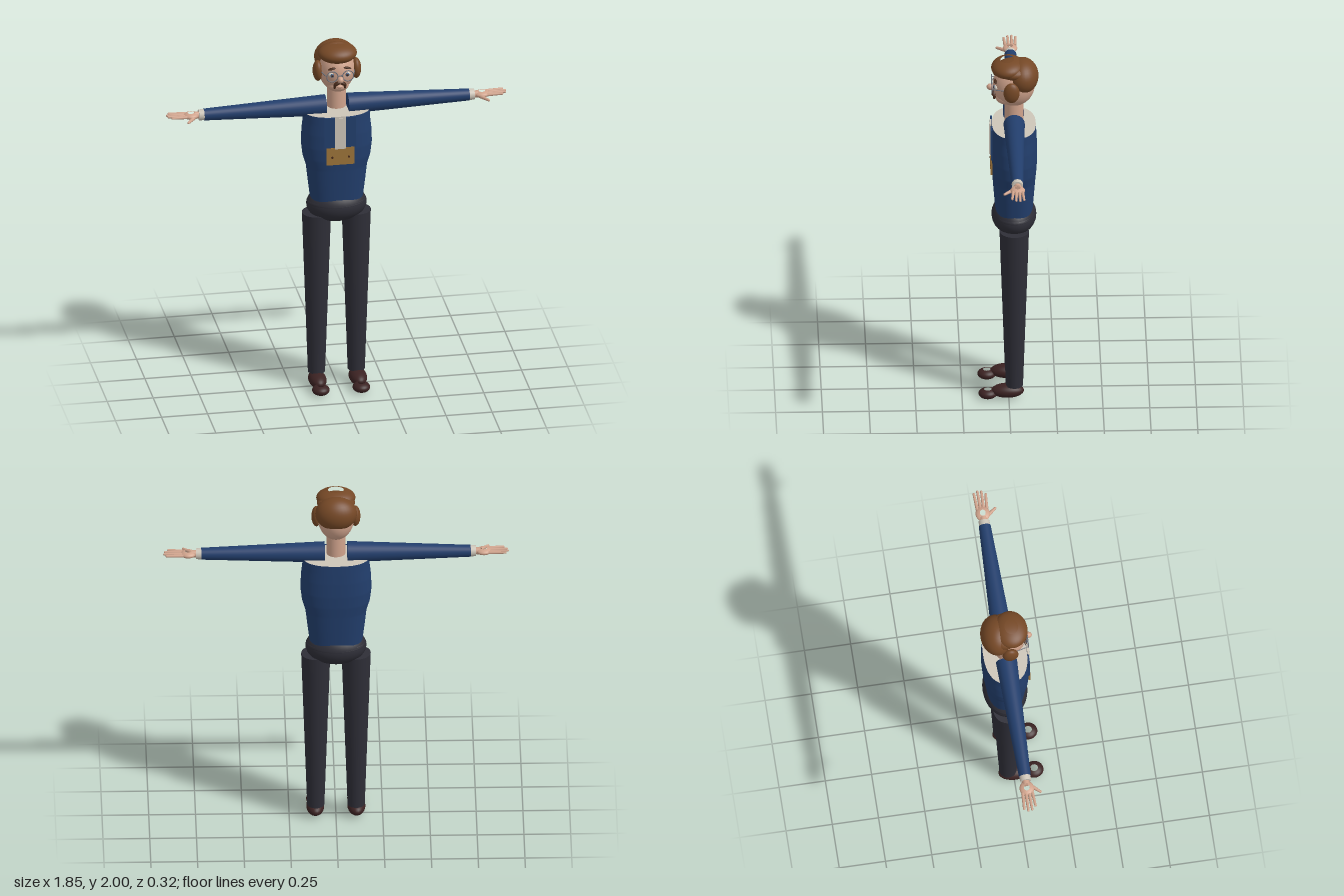
import * as THREE from 'three';

const mat = (name, color, side = THREE.FrontSide) => {
  const m = new THREE.MeshStandardMaterial({ color, side });
  m.name = name;
  return m;
};

export function createModel() {
  const model = new THREE.Group();
  model.name = 'standingMan';
  const CZ = -0.03; // depth of the body axis

  const blue = mat('navyBlue', 0x223e6c);
  const ochre = mat('ochre', 0x9c743a);
  const cream = mat('cream', 0xcdc5b8);
  const trouser = mat('charcoal', 0x2e2e37);
  const skin = mat('skin', 0xd0a38c);
  const hair = mat('brownHair', 0x754826);
  const shoe = mat('darkLeather', 0x3b2222);
  const dark = mat('darkBrown', 0x472a1a);
  const metal = mat('greyMetal', 0x70747e);
  const iris = mat('eyeBlue', 0x4a6488);

  const add = (name, geo, material, x = 0, y = 0, z = 0) => {
    const m = new THREE.Mesh(geo, material);
    m.name = name;
    m.position.set(x, y, z);
    model.add(m);
    return m;
  };
  // Ellipsoid; cut leaves the poles open
  const blob = (name, material, x, y, z, rx, ry, rz, cut = 0) => add(name,
    new THREE.SphereGeometry(1, 32, 20, 0, Math.PI * 2, cut, Math.PI - 2 * cut).scale(rx, ry, rz),
    material, x, y, z);
  // Tapered rod between two points
  const rod = (name, material, a, b, ra, rb, seg = 10) => {
    const A = new THREE.Vector3(...a), B = new THREE.Vector3(...b);
    const d = B.clone().sub(A);
    const m = add(name, new THREE.CylinderGeometry(rb, ra, d.length(), seg), material);
    m.position.copy(A).add(B).multiplyScalar(0.5);
    m.quaternion.setFromUnitVectors(new THREE.Vector3(0, 1, 0), d.normalize());
    return m;
  };

  // Torso: rounded-oval sections; rows are [height, half width, half depth]
  const rows = [[1.1, 0.142, 0.1], [1.2, 0.154, 0.108], [1.29, 0.164, 0.115], [1.35, 0.182, 0.121],
    [1.42, 0.19, 0.124], [1.5, 0.187, 0.123], [1.56, 0.18, 0.12], [1.61, 0.178, 0.117]];
  const section = (y) => {
    let i = 0;
    while (i < rows.length - 2 && y > rows[i + 1][0]) i++;
    const t = THREE.MathUtils.clamp((y - rows[i][0]) / (rows[i + 1][0] - rows[i][0]), 0, 1);
    return [1, 2].map((k) => THREE.MathUtils.lerp(rows[i][k], rows[i + 1][k], t));
  };
  const shapeTorso = (geo) => {
    const p = geo.attributes.position;
    const bow = (v) => Math.sign(v) * Math.abs(v) ** (2 / 2.4);
    for (let i = 0; i < p.count; i++) {
      const [w, d] = section(p.getY(i));
      const r = Math.min(1, Math.hypot(p.getX(i), p.getZ(i)));
      const a = Math.atan2(p.getX(i), p.getZ(i));
      p.setX(i, r * w * bow(Math.sin(a)));
      p.setZ(i, CZ + r * d * bow(Math.cos(a)));
    }
    geo.computeVertexNormals();
    return geo;
  };
  const torso = shapeTorso(new THREE.CylinderGeometry(1, 1, 0.51, 128, 85, true).translate(0, 1.355, 0));
  // Waistcoat sides and back in blue, apron in ochre, shirt in cream
  const pick = (x, y, z) => {
    const k = 1 - ((y - 1.415) / 0.135) ** 2;
    if (z > CZ) {
      if (k > 0 && Math.abs(x) > 0.135 - 0.055 * Math.sqrt(k)) return 0;
      return y < (Math.abs(x) < 0.12 ? 1.43 : 1.415) ? 1 : 2;
    }
    const top = 1.545 - 0.3 * (CZ - z);
    return y < 1.295 ? 1 : y < top ? 0 : 2;
  };
  const faces = [[], [], []], idx = torso.index.array, pos = torso.attributes.position;
  for (let i = 0; i < idx.length; i += 3) {
    const f = [idx[i], idx[i + 1], idx[i + 2]];
    const mid = ['getX', 'getY', 'getZ'].map((g) => f.reduce((s, v) => s + pos[g](v) / 3, 0));
    faces[pick(...mid)].push(...f);
  }
  torso.setIndex(faces.flat());
  let start = 0;
  faces.forEach((f, i) => { torso.addGroup(start, f.length, i); start += f.length; });
  add('torso', torso, [blue, ochre, cream]);
  add('shoulderTop', shapeTorso(new THREE.CircleGeometry(1, 64).rotateX(-Math.PI / 2).translate(0, 1.61, 0)), cream);

  // Shirt front
  add('shirtPlacket', new THREE.BoxGeometry(0.06, 0.19, 0.009), cream, 0, 1.523, 0.094);
  add('placketFold', new THREE.BoxGeometry(0.022, 0.18, 0.005), cream, 0, 1.52, 0.1);
  add('bib', new THREE.BoxGeometry(0.15, 0.1, 0.009), ochre, 0, 1.385, 0.092);

  // Hips
  blob('hips', trouser, 0, 1.06, CZ, 0.163, 0.1, 0.12, 0.5);
  add('waistTop', new THREE.SphereGeometry(1, 32, 12).scale(0.162, 0.05, 0.119), trouser, 0, 1.075, CZ);

  // Neck and head
  add('neck', new THREE.CylinderGeometry(0.051, 0.051, 0.15, 32), skin, 0, 1.705, CZ);
  blob('head', skin, 0, 1.85, CZ, 0.098, 0.125, 0.113, 0.3);
  blob('chin', skin, 0, 1.775, 0.012, 0.062, 0.04, 0.058);
  blob('nose', skin, 0, 1.833, 0.095, 0.017, 0.018, 0.021);
  blob('mouth', skin, 0, 1.782, 0.07, 0.018, 0.009, 0.01);

  // Hair
  blob('hairTop', hair, 0, 1.953, 0.002, 0.105, 0.05, 0.09, 0.42).rotation.x = 0.06;
  blob('hairCrown', hair, 0, 1.94, -0.03, 0.102, 0.045, 0.1);
  blob('hairBack', hair, 0, 1.9, -0.076, 0.112, 0.094, 0.086);

  for (const s of [1, -1]) {
    const side = s > 0 ? 'left' : 'right';

    // Face details
    blob(side + 'Sideburn', hair, s * 0.104, 1.848, -0.015, 0.027, 0.058, 0.043);
    blob(side + 'EyeWhite', cream, s * 0.041, 1.853, 0.066, 0.02, 0.014, 0.012);
    blob(side + 'Iris', iris, s * 0.041, 1.853, 0.076, 0.01, 0.011, 0.006);
    blob(side + 'Pupil', dark, s * 0.041, 1.853, 0.081, 0.005, 0.006, 0.003);
    blob(side + 'Eyebrow', dark, s * 0.042, 1.889, 0.069, 0.023, 0.006, 0.009).rotation.z = -s * 0.2;
    blob(side + 'Moustache', dark, s * 0.016, 1.805, 0.079, 0.022, 0.01, 0.012).rotation.z = -s * 0.6;
    blob(side + 'MoustacheTip', dark, s * 0.028, 1.787, 0.075, 0.007, 0.015, 0.008);
    add(side + 'LensRim', new THREE.TorusGeometry(0.03, 0.0028, 6, 32), metal, s * 0.043, 1.851, 0.088);
    rod(side + 'GlassesArm', metal, [s * 0.073, 1.853, 0.088], [s * 0.1, 1.855, -0.01], 0.0025, 0.0025, 6);

    // Braces and their buttons
    add(side + 'Brace', new THREE.BoxGeometry(0.055, 0.18, 0.009), blue, s * 0.058, 1.52, 0.09);
    add(side + 'BibButton', new THREE.CylinderGeometry(0.006, 0.006, 0.004, 12).rotateX(Math.PI / 2),
      dark, s * 0.045, 1.38, 0.098);

    // Sleeve and cuff
    rod(side + 'Sleeve', blue, [s * 0.06, 1.635, CZ], [s * 0.72, 1.632, CZ], 0.057, 0.032, 32);
    rod(side + 'Cuff', cream, [s * 0.715, 1.632, CZ], [s * 0.748, 1.632, CZ], 0.031, 0.029, 24);

    // Hand
    rod(side + 'Wrist', skin, [s * 0.74, 1.632, CZ], [s * 0.77, 1.632, CZ], 0.019, 0.02, 16);
    blob(side + 'Palm', skin, s * 0.79, 1.632, CZ, 0.042, 0.018, 0.039, 0.42);
    const lengths = [0.895, 0.913, 0.917, 0.905];
    lengths.forEach((tip, i) => {
      const z = CZ + (1.5 - i) * 0.017, tz = CZ + (1.5 - i) * 0.021;
      rod(side + 'Finger' + (i + 1), skin, [s * 0.815, 1.634, z], [s * tip, 1.637, tz], 0.009, 0.0065);
      blob(side + 'Fingertip' + (i + 1), skin, s * tip, 1.637, tz, 0.0065, 0.0065, 0.0065);
    });
    rod(side + 'Thumb', skin, [s * 0.775, 1.628, -0.008], [s * 0.815, 1.622, 0.04], 0.011, 0.007);
    blob(side + 'ThumbTip', skin, s * 0.815, 1.622, 0.04, 0.007, 0.007, 0.007);

    // Trouser leg and shoe
    add(side + 'Leg', new THREE.CylinderGeometry(0.078, 0.046, 0.937, 32), trouser, s * 0.108, 0.542, CZ);
    blob(side + 'Shoe', shoe, s * 0.11, 0.042, 0.007, 0.048, 0.038, 0.088);
    blob(side + 'ShoeToe', shoe, s * 0.11, 0.026, 0.112, 0.047, 0.028, 0.05, 0.42);
  }
  rod('glassesBridge', metal, [-0.014, 1.855, 0.09], [0.014, 1.855, 0.09], 0.0028, 0.0028, 6);

  return model;
}
